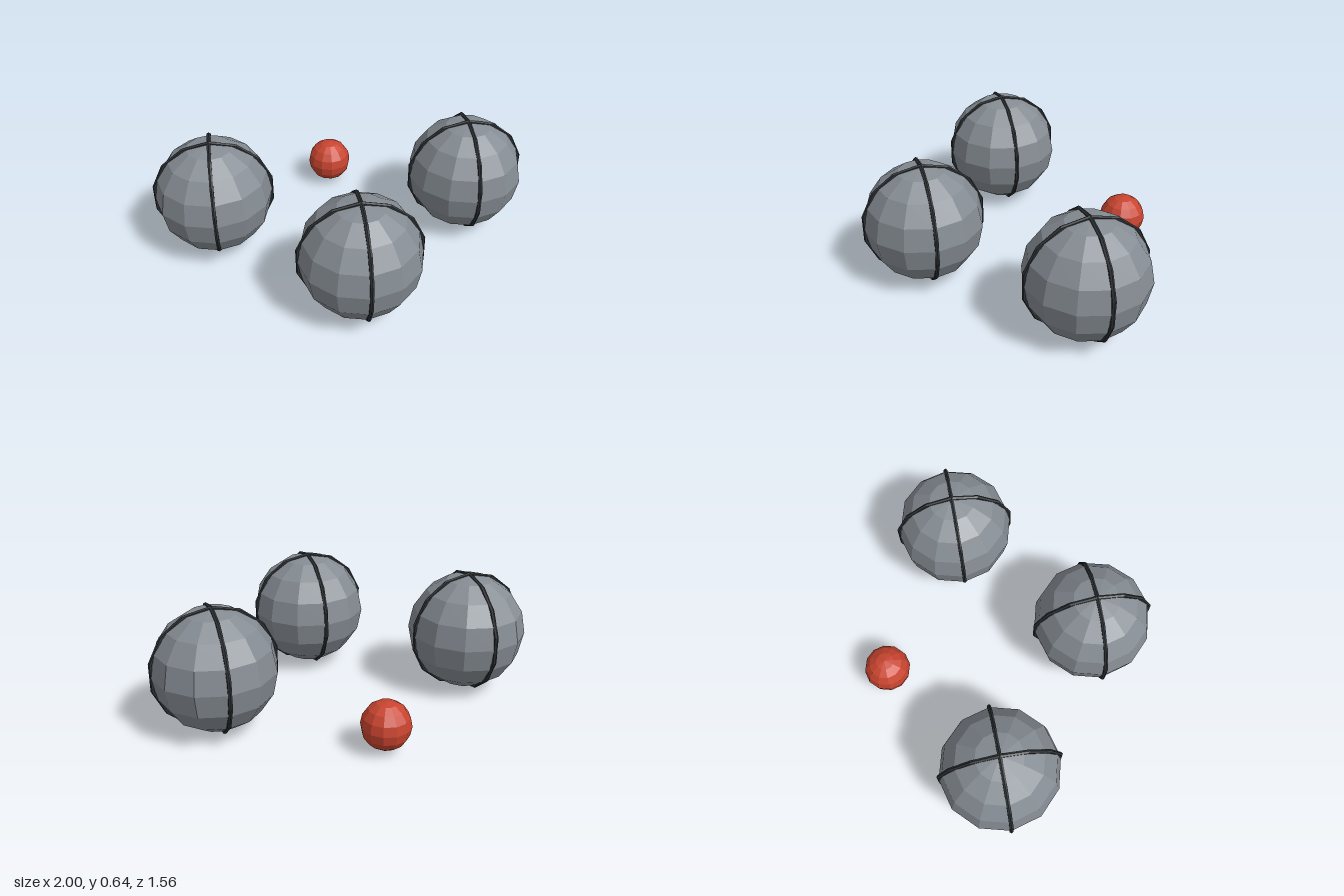
import * as THREE from 'three';

export function createModel() {
  const steel = new THREE.MeshStandardMaterial({ color: 0x858c93, flatShading: true });
  steel.name = 'steel grey';
  const dark = new THREE.MeshStandardMaterial({ color: 0x2c3033, flatShading: true });
  dark.name = 'groove dark';
  const red = new THREE.MeshStandardMaterial({ color: 0xc8442f, flatShading: true });
  red.name = 'target red';

  const model = new THREE.Group();
  model.name = 'ballSet';

  const ballGeometry = new THREE.SphereGeometry(0.31, 12, 8);
  // Vertical ring with a corner at top and bottom
  const ringGeometry = new THREE.TorusGeometry(0.3115, 0.011, 6, 14).rotateZ(Math.PI / 2);

  // Large ball with two crossing rings
  function addBall(name, x, z) {
    const ball = new THREE.Group();
    ball.name = name;
    const body = new THREE.Mesh(ballGeometry, steel);
    body.name = 'ballBody';
    ball.add(body);
    for (const [ringName, turn] of [['sideRing', 0], ['frontRing', Math.PI / 2]]) {
      const ring = new THREE.Mesh(ringGeometry, dark);
      ring.name = ringName;
      ring.rotation.y = turn;
      ball.add(ring);
    }
    ball.position.set(x, 0.326, z);
    model.add(ball);
  }
  addBall('leftBall', 0.686, -0.158);
  addBall('rightBall', -0.686, -0.158);
  addBall('frontBall', 0, 0.463);

  // Small target ball at the back
  const target = new THREE.Mesh(new THREE.SphereGeometry(0.123, 12, 8), red);
  target.name = 'targetBall';
  target.position.set(0, 0.142, -0.656);
  model.add(target);

  return model;
}
